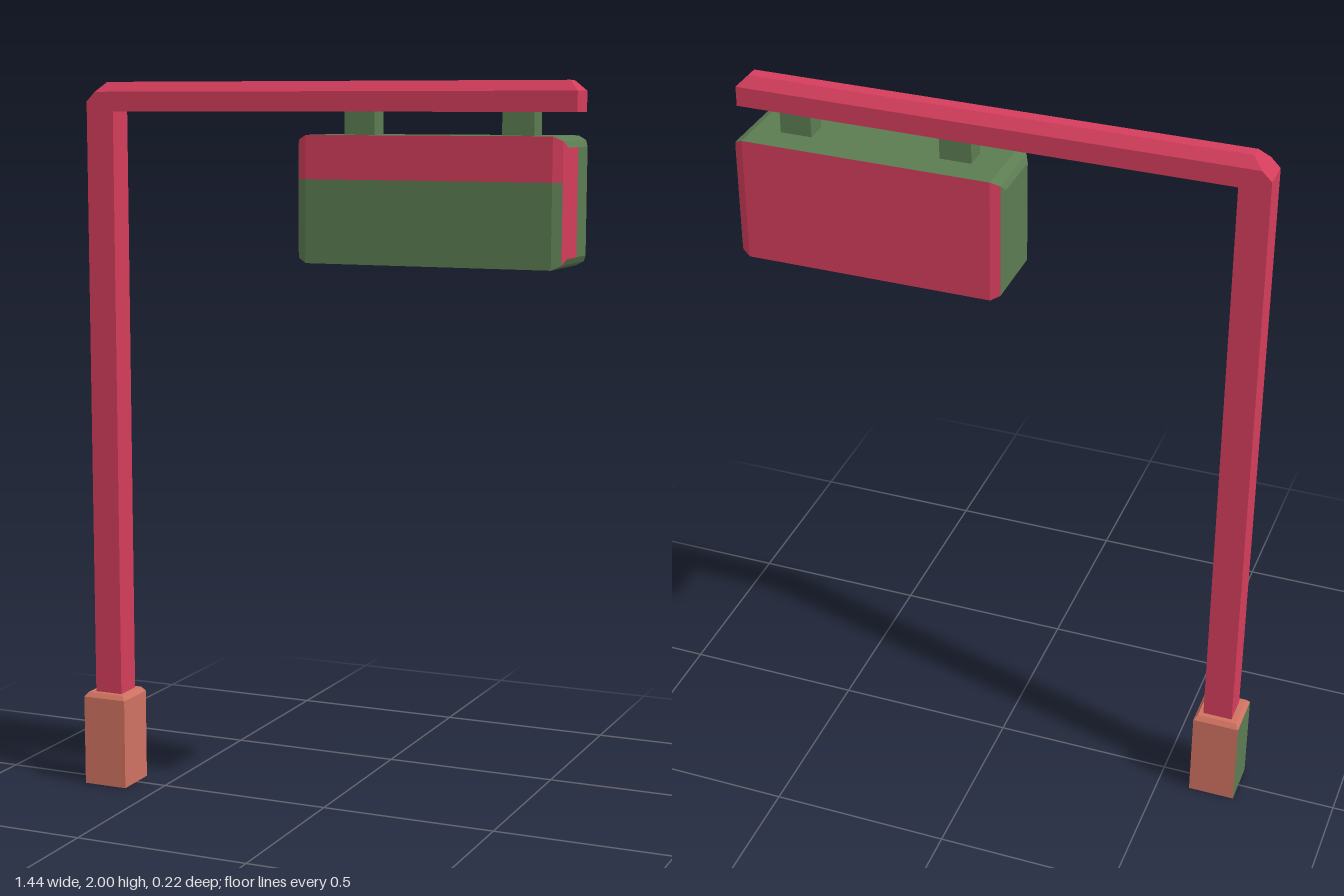
import * as THREE from 'three';
import { ConvexGeometry } from 'three/addons/geometries/ConvexGeometry.js';

const material = (name, color) =>
  new THREE.MeshStandardMaterial({ name, color, side: THREE.DoubleSide });

// Flat-shaded mesh from quads, corners counter-clockwise seen from outside
function quadMesh(name, mat, quads) {
  const pos = [];
  for (const [a, b, c, d] of quads) pos.push(...a, ...b, ...c, ...a, ...c, ...d);
  const geo = new THREE.BufferGeometry();
  geo.setAttribute('position', new THREE.Float32BufferAttribute(pos, 3));
  geo.computeVertexNormals();
  const mesh = new THREE.Mesh(geo, mat);
  mesh.name = name;
  return mesh;
}

// Box given by its limits on each axis
function block(name, mat, [x0, x1], [y0, y1], [z0, z1]) {
  const mesh = new THREE.Mesh(new THREE.BoxGeometry(x1 - x0, y1 - y0, z1 - z0), mat);
  mesh.position.set((x0 + x1) / 2, (y0 + y1) / 2, (z0 + z1) / 2);
  mesh.name = name;
  return mesh;
}

function createBase(orange, green) {
  const cx = -0.657, cz = 0.004;
  const ring = (y, r) => [[1, 1], [1, -1], [-1, -1], [-1, 1]]
    .map(([sx, sz]) => [cx + sx * r, y, cz + sz * r]);
  const rings = [ring(0, 0.065), ring(0.257, 0.065), ring(0.27, 0.055)];
  const main = [], side = [];
  for (let i = 0; i < 2; i++) {
    for (let k = 0; k < 4; k++) {
      const n = (k + 1) % 4;
      // the side towards -x is green, the bottom stays open
      const list = k === 2 && i === 0 ? side : main;
      list.push([rings[i][k], rings[i][n], rings[i + 1][n], rings[i + 1][k]]);
    }
  }
  main.push(rings[2]);
  const base = new THREE.Group();
  base.name = 'base';
  base.add(quadMesh('baseBody', orange, main), quadMesh('baseSide', green, side));
  return base;
}

// Arm with a cut outer corner and chamfered upper edges
function createArm(mat) {
  const pts = [];
  const pair = (x, y, r) => pts.push(
    new THREE.Vector3(x, y, 0.004 + r), new THREE.Vector3(x, y, 0.004 - r));
  const wide = 0.041, narrow = 0.018;
  pair(-0.696, 1.92, wide);
  pair(-0.696, 1.947, wide);
  pair(-0.67, 1.973, wide);
  pair(-0.643, 2, narrow);
  pair(0.687, 2, narrow);
  pair(0.714, 1.973, wide);
  pair(0.714, 1.92, wide);
  const arm = new THREE.Mesh(new ConvexGeometry(pts), mat);
  arm.name = 'arm';
  return arm;
}

function createSign(red, green) {
  const y0 = 1.525, y1 = 1.86, split = 1.745, z = 0.108;
  const stations = [[-0.038, 0.028], [-0.029, 0.012], [-0.005, 0],
    [0.671, 0], [0.695, 0.012], [0.704, 0.028]];
  const rings = stations.map(([x, e]) => [
    [x, y0 + e, z - e], [x, split, z - e], [x, y1 - e, z - e],
    [x, y1 - e, -z + e], [x, y0 + e, -z + e]]);
  const redQuads = [], greenQuads = [];
  // faces round the box: front lower, front upper, top, back, bottom
  const isRed = [false, true, false, true, false];
  for (let i = 0; i < 5; i++) {
    for (let k = 0; k < 5; k++) {
      const n = (k + 1) % 5;
      const edgeRed = i === 4 ? k < 2 : i === 0 ? false : isRed[k];
      (edgeRed ? redQuads : greenQuads)
        .push([rings[i][k], rings[i + 1][k], rings[i + 1][n], rings[i][n]]);
    }
  }
  // end faces: one half red, the rest green
  const a = rings[0], b = rings[5];
  const low = [b[0][0], b[0][1], 0], high = [b[2][0], b[2][1], 0];
  redQuads.push([b[0], low, high, b[2]]);
  greenQuads.push([low, b[4], b[3], high], [a[4], a[0], a[2], a[3]]);

  const sign = new THREE.Group();
  sign.name = 'sign';
  sign.add(quadMesh('signRedPanels', red, redQuads),
    quadMesh('signGreenPanels', green, greenQuads));
  return sign;
}

export function createModel() {
  const red = material('red', 0xd43d5c);
  const green = material('green', 0x5c7c52);
  const orange = material('orange', 0xd07261);

  const model = new THREE.Group();
  model.name = 'hangingSignPost';
  model.add(createBase(orange, green));
  model.add(block('post', red, [-0.696, -0.614], [0.26, 1.925], [-0.037, 0.045]));
  model.add(createArm(red));
  model.add(createSign(red, green));

  // Hangers between arm and sign
  for (const x of [0.117, 0.555]) {
    model.add(block('hanger', green, [x - 0.043, x + 0.043], [1.85, 1.925], [-0.027, 0.035]));
  }
  return model;
}
